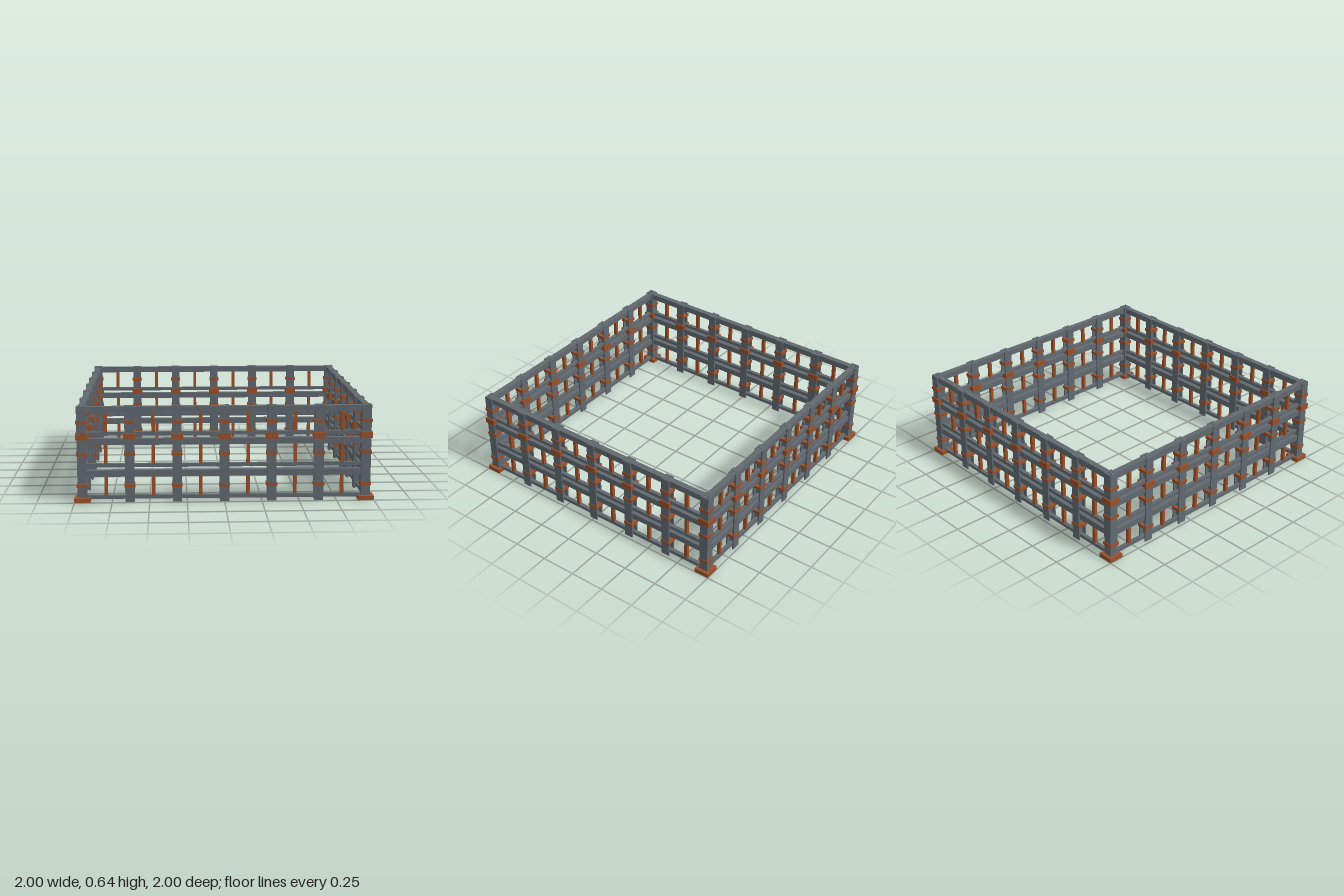
import * as THREE from 'three';

const steel = new THREE.MeshStandardMaterial({ color: 0x616970 });
steel.name = 'steel grey';
const rust = new THREE.MeshStandardMaterial({ color: 0x9a5029 });
rust.name = 'rust orange';

const R = 0.947;          // centre line of each wall
const BAY = R / 3;        // post spacing
const POST_H = 0.645;

function box(parent, name, mat, w, h, d, x, y, z) {
  const m = new THREE.Mesh(new THREE.BoxGeometry(w, h, d), mat);
  m.name = name;
  m.position.set(x, y, z);
  parent.add(m);
  return m;
}

// Clamps wrapped around a post, with a thicker joint at the middle rail
function clamps(post) {
  for (const y of [0.11, 0.325, 0.54]) box(post, 'clamp', rust, 0.072, 0.022, 0.072, 0, y, 0);
  box(post, 'jointBlock', rust, 0.08, 0.042, 0.08, 0, 0.443, 0);
}

// H-section: two flanges facing in and out, joined by a web
function hBeam(parent) {
  for (const s of [-1, 1]) box(parent, 'flange', steel, 0.062, POST_H, 0.01, 0, POST_H / 2, s * 0.026);
  box(parent, 'web', steel, 0.01, POST_H, 0.042, 0, POST_H / 2, 0);
}

// One wall running along x at z = 0
function makeWall() {
  const wall = new THREE.Group();

  // Thick rail over each tier and a thin rail under it, with balusters between
  for (let tier = 0; tier < 3; tier++) {
    const y = tier * 0.215;
    box(wall, 'mainRail', steel, 2 * R, 0.042, 0.042, 0, y + 0.191, 0);
    box(wall, 'thinRail', steel, 2 * R, 0.024, 0.026, 0, y + 0.029, 0);
    for (let i = 0; i < 6; i++) {
      box(wall, 'baluster', rust, 0.023, 0.13, 0.023, (i - 2.5) * BAY, y + 0.105, 0);
    }
  }

  // Intermediate posts
  for (let i = -2; i <= 2; i++) {
    const post = new THREE.Group();
    post.name = 'post';
    post.position.x = i * BAY;
    hBeam(post);
    clamps(post);
    wall.add(post);
  }
  return wall;
}

// Corner post: two crossed H-sections on a foot plate
function makeCorner() {
  const corner = new THREE.Group();
  hBeam(corner);
  const crossed = new THREE.Group();
  crossed.name = 'crossedBeam';
  crossed.rotation.y = Math.PI / 2;
  hBeam(crossed);
  corner.add(crossed);
  clamps(corner);
  box(corner, 'footPlate', rust, 0.106, 0.03, 0.106, 0, 0.015, 0);
  return corner;
}

export function createModel() {
  const model = new THREE.Group();
  model.name = 'squareFence';
  const names = ['front', 'left', 'back', 'right'];
  names.forEach((name, k) => {
    const side = new THREE.Group();
    side.name = name + 'Side';
    side.rotation.y = k * Math.PI / 2;
    const wall = makeWall();
    wall.name = name + 'Wall';
    wall.position.z = R;
    const corner = makeCorner();
    corner.name = name + 'CornerPost';
    corner.position.set(R, 0, R);
    side.add(wall, corner);
    model.add(side);
  });
  return model;
}
